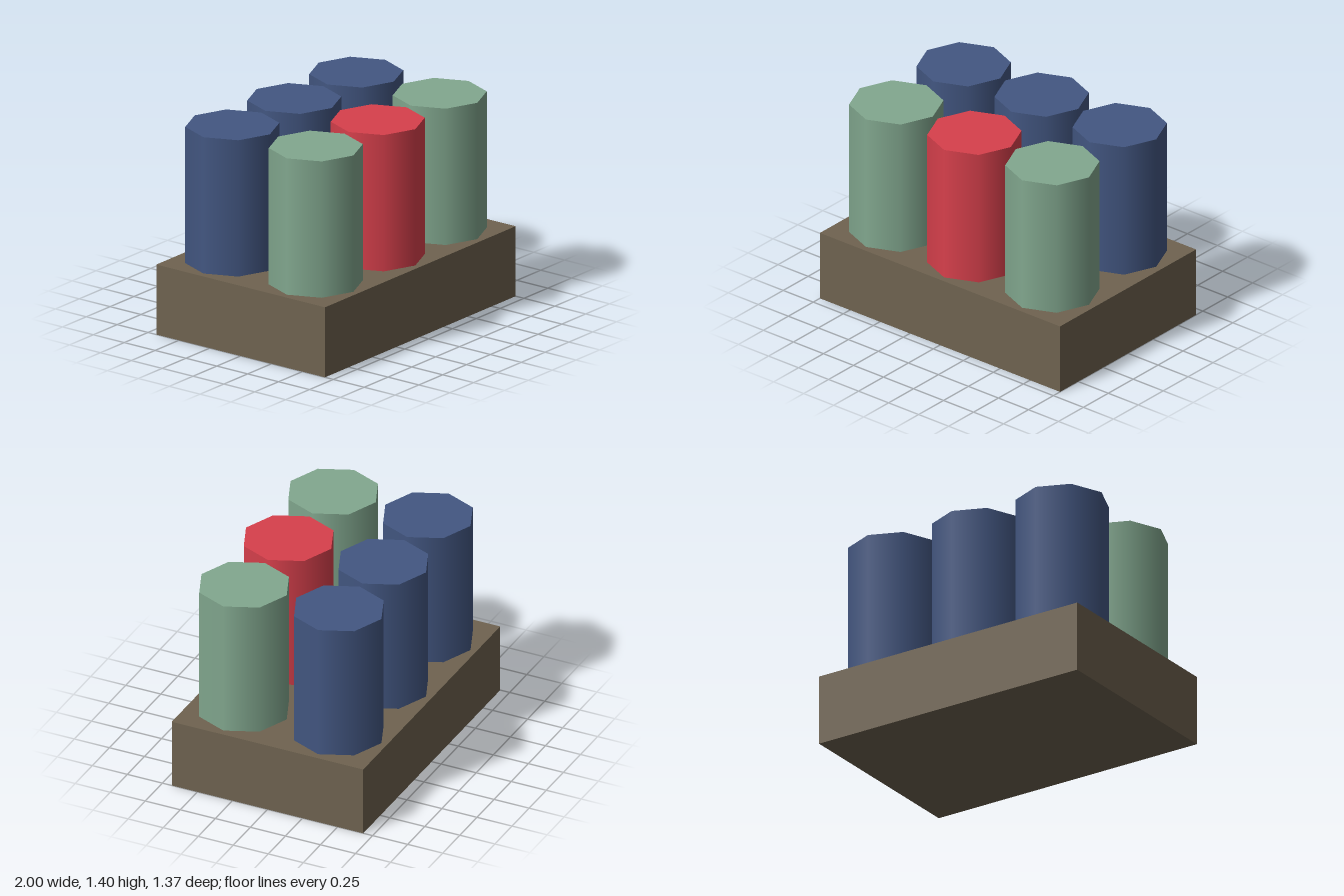
import * as THREE from 'three';

const paint = (name, color) => {
  const material = new THREE.MeshStandardMaterial({ color });
  material.name = name;
  return material;
};

export function createModel() {
  const brown = paint('brown', 0x6f6350);
  const green = paint('sage green', 0x82a88f);
  const red = paint('red', 0xd8404c);
  const blue = paint('navy blue', 0x435782);

  const group = new THREE.Group();
  group.name = 'trayOfCans';

  const add = (name, geometry, material, x, y, z) => {
    const mesh = new THREE.Mesh(geometry, material);
    mesh.name = name;
    mesh.position.set(x, y, z);
    group.add(mesh);
  };

  // Tray
  const trayHeight = 0.475;
  add('tray', new THREE.BoxGeometry(2, trayHeight, 1.366), brown, 0, trayHeight / 2, 0);

  // Two rows of three eight-sided cans with smooth walls and flat lids
  const canHeight = 0.925;
  const can = new THREE.CylinderGeometry(0.304, 0.304, canHeight, 8);
  const columns = { Right: -0.65, Middle: 0, Left: 0.65 };
  for (const [column, x] of Object.entries(columns)) {
    const y = trayHeight + canHeight / 2;
    add(`frontCan${column}`, can, x === 0 ? red : green, x, y, 0.338);
    add(`backCan${column}`, can, blue, x, y, -0.338);
  }

  return group;
}
